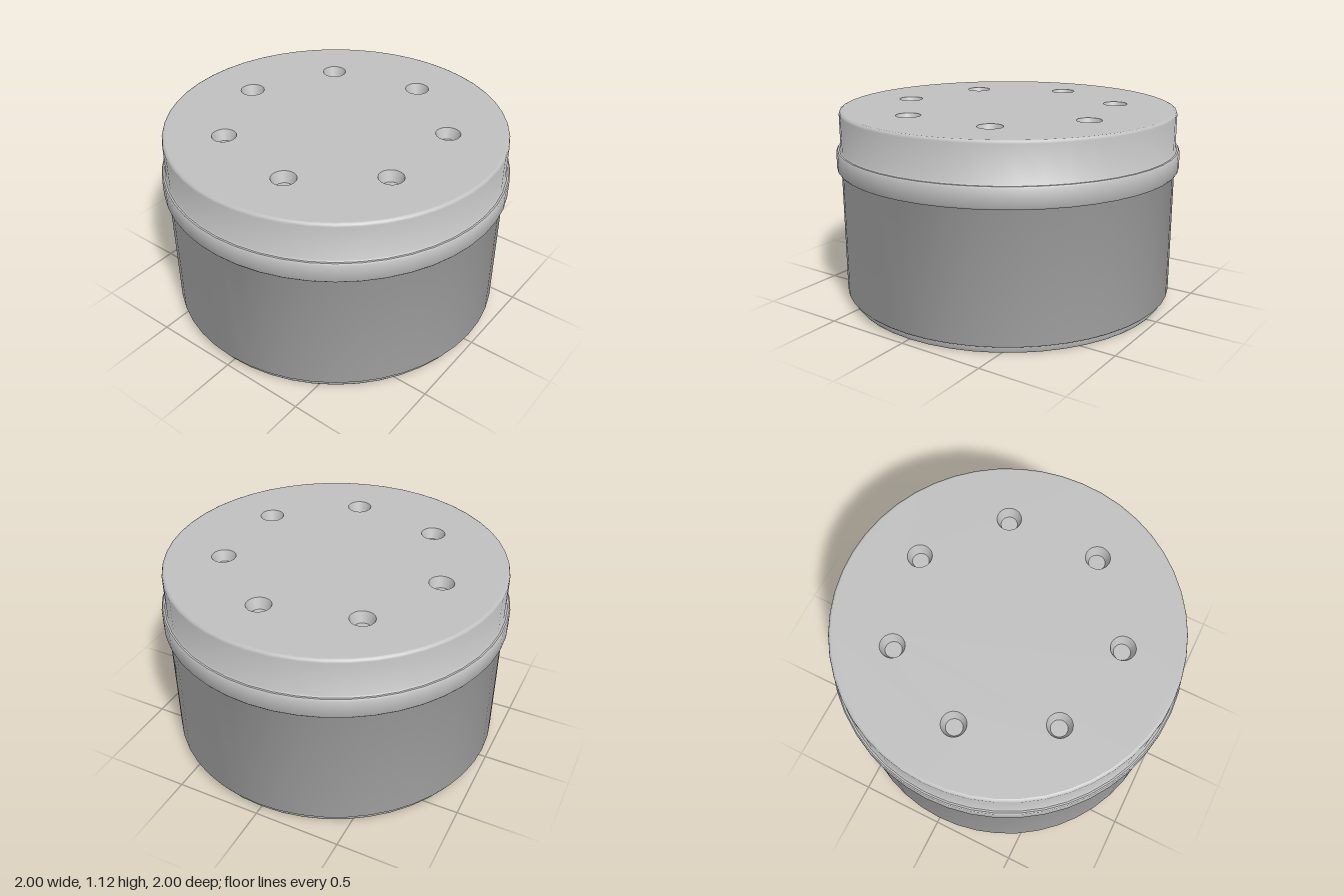
import * as THREE from 'three';

const SIDES = 48;
const HOLES = 7;
const HOLE_RING = 0.635;
const HOLE_R = 0.07;
const TOP_Y = 1.125;
const TOP_R = 0.96;

// Turned part whose normals average the two neighbouring profile segments equally
function turned(profile, sides = SIDES) {
  const points = profile.map(([r, y]) => new THREE.Vector2(r, y));
  const geometry = new THREE.LatheGeometry(points, sides);
  const segments = points.slice(1).map((p, i) => {
    const d = p.clone().sub(points[i]);
    return new THREE.Vector2(d.y, -d.x).normalize();
  });
  const normals = points.map((p, i) => {
    const n = new THREE.Vector2();
    if (i > 0) n.add(segments[i - 1]);
    if (i < segments.length) n.add(segments[i]);
    return n.normalize();
  });
  const attribute = geometry.attributes.normal;
  for (let s = 0; s <= sides; s++) {
    const a = (s / sides) * Math.PI * 2;
    normals.forEach((n, i) => {
      attribute.setXYZ(s * points.length + i, n.x * Math.sin(a), n.y, n.x * Math.cos(a));
    });
  }
  return geometry;
}

function ringPoints(radius, sides) {
  return Array.from({ length: sides }, (_, i) => {
    const a = (i / sides) * Math.PI * 2;
    return new THREE.Vector2(Math.sin(a) * radius, Math.cos(a) * radius);
  });
}

export function createModel() {
  const model = new THREE.Group();
  model.name = 'roundTin';
  const grey = new THREE.MeshStandardMaterial({ color: 0xc0c0c0 });
  grey.name = 'metalGrey';

  const add = (name, geometry) => {
    const mesh = new THREE.Mesh(geometry, grey);
    mesh.name = name;
    model.add(mesh);
    return mesh;
  };

  // Underside and recessed foot
  const base = new THREE.CircleGeometry(0.94, SIDES);
  base.rotateX(Math.PI / 2);
  add('underside', base);
  add('foot', turned([[0.94, 0], [0.948, 0.01], [0.948, 0.042]]));
  add('footLedge', turned([[0.94, 0.042], [0.965, 0.042]]));

  // Main wall, with small chamfers at both ends
  add('body', turned([[0.965, 0.042], [0.975, 0.052], [0.975, 0.778], [0.985, 0.785]]));

  // Raised rim band
  add('bandUnderside', turned([[0.97, 0.785], [0.993, 0.785]]));
  add('band', turned([[0.993, 0.785], [1, 0.795], [1, 0.892], [0.993, 0.902]]));
  add('bandTop', turned([[0.993, 0.902], [0.97, 0.902]]));

  // Lid wall with rounded top edge
  add('lidWall', turned([
    [0.983, 0.902], [0.975, 0.91], [0.975, 1.108], [0.971, 1.12], [TOP_R, TOP_Y],
  ]));

  // Lid top, pierced for the pits
  const shape = new THREE.Shape(ringPoints(TOP_R, SIDES));
  const pit = turned([[HOLE_R, 0], [0.047, -0.06]], 24);
  const floor = new THREE.CircleGeometry(0.047, 24).rotateX(-Math.PI / 2);
  for (let i = 0; i < HOLES; i++) {
    const a = (i / HOLES) * Math.PI * 2;
    const x = Math.sin(a) * HOLE_RING;
    const z = -Math.cos(a) * HOLE_RING;
    const rim = ringPoints(HOLE_R, 24).map((p) => p.add(new THREE.Vector2(x, -z)));
    shape.holes.push(new THREE.Path(rim));
    add('pitWall', pit).position.set(x, TOP_Y, z);
    add('pitFloor', floor).position.set(x, TOP_Y - 0.06, z);
  }
  const top = new THREE.ShapeGeometry(shape);
  top.rotateX(-Math.PI / 2);
  add('lidTop', top).position.y = TOP_Y;

  return model;
}
